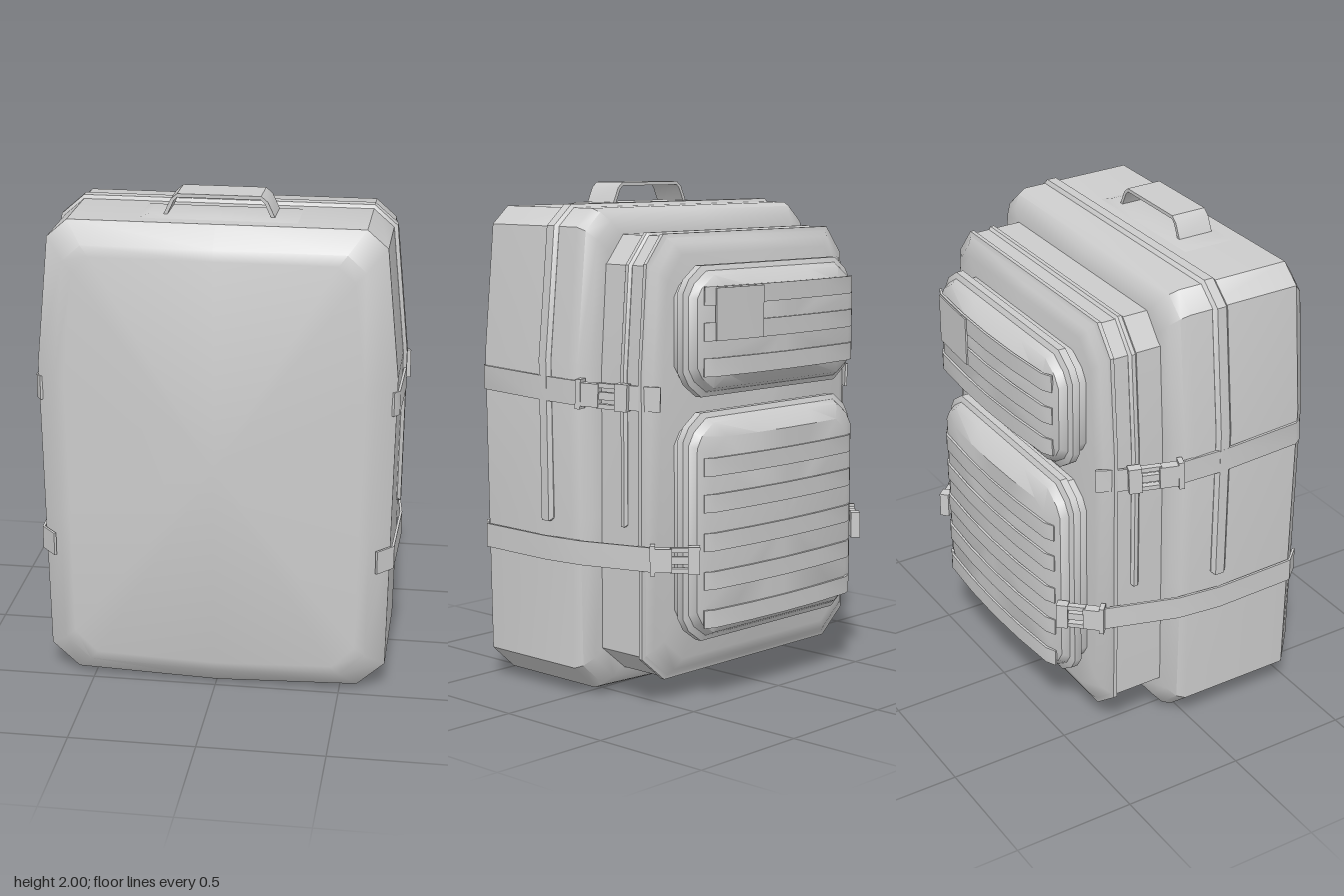
import * as THREE from 'three';
import { toCreasedNormals } from 'three/addons/utils/BufferGeometryUtils.js';

const material = new THREE.MeshStandardMaterial({ color: 0xcccccc });

function addMesh(parent, name, geometry, crease = 0.6) {
  const mesh = new THREE.Mesh(toCreasedNormals(geometry, crease), material);
  mesh.name = name;
  parent.add(mesh);
  return mesh;
}

// Closed outline from its right half, listed bottom centre to top centre
function mirrorOutline(half) {
  const left = half.filter(p => p[0] > 0).reverse().map(([x, y]) => [-x, y]);
  return [...half, ...left];
}

// Solid from one outline stacked along z; rings are [z, inset], front to back
function loft(outline, rings, dome = 0) {
  const ys = outline.map(p => p[1]);
  const hw = Math.max(...outline.map(p => p[0]));
  const hh = (Math.max(...ys) - Math.min(...ys)) / 2;
  const cy = Math.min(...ys) + hh;
  const n = outline.length, pos = [], index = [];
  rings.forEach(([z, d], r) => {
    for (const [x, y] of outline) {
      const bow = r === rings.length - 1 ? dome * (1 - (x / hw) ** 2) : 0;
      pos.push(x * (hw - d) / hw, cy + (y - cy) * (hh - d) / hh, z - bow);
    }
  });
  const front = rings.length * n, back = front + 1, last = (rings.length - 1) * n;
  pos.push(0, cy, rings[0][0], 0, cy, rings[rings.length - 1][0] - dome);
  for (let j = 0; j < n; j++) {
    const k = (j + 1) % n;
    for (let r = 0; r < rings.length - 1; r++) {
      const a = r * n, b = a + n;
      index.push(a + j, b + j, b + k, a + j, b + k, a + k);
    }
    index.push(front, j, k, back, last + k, last + j);
  }
  const g = new THREE.BufferGeometry();
  g.setAttribute('position', new THREE.Float32BufferAttribute(pos, 3));
  g.setIndex(index);
  return g;
}

// Flat ribbon of thickness t following a 2D path, extruded by depth
function ribbon(path, t, depth, bevel = 0) {
  const sides = [[], []];
  path.forEach((p, i) => {
    const a = path[Math.max(i - 1, 0)], b = path[Math.min(i + 1, path.length - 1)];
    const dx = b[0] - a[0], dy = b[1] - a[1], l = Math.hypot(dx, dy);
    [1, -1].forEach((s, k) => sides[k].push(
      new THREE.Vector2(p[0] - s * dy / l * t / 2, p[1] + s * dx / l * t / 2)));
  });
  return new THREE.ExtrudeGeometry(new THREE.Shape([...sides[0], ...sides[1].reverse()]), {
    depth, bevelEnabled: bevel > 0, bevelSize: bevel, bevelThickness: bevel, bevelSegments: 1,
  });
}

// Ribbon lying on an xz path, centred on height y
function levelRibbon(path, t, height, y) {
  return ribbon(path, t, height).rotateX(Math.PI / 2).translate(0, y + height / 2, 0);
}

// Arch over the top and down both sides
const arch = half => [...half, ...half.map(([x, y]) => [-x, y]).reverse()];

// Two-part clip running from a to b (xz points)
function addBuckle(parent, a, b, y) {
  const g = new THREE.Group();
  g.name = 'buckle';
  const dx = b[0] - a[0], dz = b[1] - a[1], len = Math.hypot(dx, dz);
  g.position.set(a[0], y, a[1]);
  g.rotation.y = Math.atan2(-dz, dx);
  const block = (name, x, yy, l, h, t) =>
    addMesh(g, name, new THREE.BoxGeometry(l, h, t).translate(x, yy, 0));
  block('buckleSocket', len * 0.22, 0, len * 0.44, 0.09, 0.038);
  block('buckleLip', len * 0.05, 0, len * 0.1, 0.115, 0.045);
  block('buckleTongue', len * 0.6, 0, len * 0.4, 0.03, 0.02);
  for (const s of [-1, 1]) block('buckleProng', len * 0.6, s * 0.04, len * 0.4, 0.018, 0.025);
  block('buckleBase', len * 0.88, 0, len * 0.24, 0.105, 0.038);
  parent.add(g);
}

function addPocket(parent, name, y0, y1, webbing) {
  const g = new THREE.Group();
  g.name = name;
  const w = 0.5, c = 0.1;
  const outline = mirrorOutline([[0, y0], [0.2, y0], [w - c, y0], [w - 0.03, y0 + 0.05], [w, y0 + c],
    [w, y1 - c], [w - 0.03, y1 - 0.05], [w - c, y1], [0.2, y1], [0, y1]]);
  addMesh(g, 'pocketBody', loft(outline, [[-0.35, 0.03], [-0.41, 0.03], [-0.415, 0], [-0.445, 0],
    [-0.455, 0.02], [-0.485, 0.035], [-0.51, 0.09]], 0.022));
  // Webbing rows follow the bulge of the pocket face
  const faceZ = x => -0.514 - 0.022 * (1 - (x / 0.42) ** 2);
  const row = [-0.4, -0.2, 0, 0.2, 0.4].map(x => [x, faceZ(x)]);
  for (const y of webbing)
    addMesh(g, 'webbing', levelRibbon([[-0.44, -0.497], ...row, [0.44, -0.497]], 0.01, 0.07, y));
  parent.add(g);
  return { g, faceZ };
}

export function createModel() {
  const pack = new THREE.Group();
  pack.name = 'backpack';

  // Main compartment
  addMesh(pack, 'mainBody', loft(mirrorOutline([[0, 0], [0.57, 0.02], [0.68, 0.12], [0.69, 0.7],
    [0.7, 1.33], [0.65, 1.84], [0.57, 1.91], [0, 1.91]]),
  [[0.54, 0.12], [0.527, 0.08], [0.45, 0], [-0.03, 0], [-0.065, 0.015], [-0.095, 0.05], [-0.11, 0.1]]));
  addMesh(pack, 'mainZipRidge', ribbon(arch([[0.688, 0.71], [0.695, 1.33], [0.645, 1.835],
    [0.567, 1.903]]), 0.012, 0.04, 0.014).translate(0, 0, 0.08));

  // Second compartment
  addMesh(pack, 'rearCompartment', loft(mirrorOutline([[0, 0.1], [0.48, 0.1], [0.6, 0.2], [0.6, 1.3],
    [0.57, 1.7], [0.48, 1.81], [0, 1.81]]),
  [[-0.09, 0], [-0.31, 0], [-0.314, -0.008], [-0.33, -0.008], [-0.335, 0.008], [-0.355, 0.03], [-0.37, 0.07]]));
  addMesh(pack, 'rearZipRidge', ribbon(arch([[0.597, 0.71], [0.597, 1.3], [0.567, 1.697],
    [0.478, 1.805]]), 0.01, 0.016, 0.01).translate(0, 0, -0.24));

  // Pockets on the back face, the upper one with a blank patch
  addPocket(pack, 'lowerPocket', 0.25, 1.14, [0.35, 0.5, 0.65, 0.8, 0.94]);
  const upper = addPocket(pack, 'upperPocket', 1.2, 1.7, [1.32, 1.455, 1.59]);
  const patch = [0.15, 0.28, 0.4].map(x => [x, upper.faceZ(x) - 0.006]);
  addMesh(upper.g, 'patch', levelRibbon(patch, 0.008, 0.2, 1.52));

  // Compression straps with clips on both sides
  for (const s of [1, -1]) {
    const side = points => points.map(([x, z]) => [s * x, z]);
    const high = new THREE.Group();
    high.name = 'upperStrap';
    high.position.y = 1.215;
    high.rotation.x = -0.04;
    addMesh(high, 'strapFront', levelRibbon(side([[0.685, 0.47], [0.705, 0.44], [0.71, 0.1],
      [0.695, -0.08]]), 0.01, 0.095, 0));
    addMesh(high, 'strapRear', levelRibbon(side([[0.625, -0.26], [0.605, -0.31], [0.56, -0.385]]),
      0.01, 0.095, 0));
    addBuckle(high, ...side([[0.7, -0.08], [0.625, -0.28]]), 0);
    pack.add(high);

    const low = new THREE.Group();
    low.name = 'lowerStrap';
    low.position.y = 0.59;
    addMesh(low, 'strapFront', levelRibbon(side([[0.64, 0.515], [0.7, 0.45], [0.71, 0.1],
      [0.69, -0.08], [0.6, -0.37]]), 0.01, 0.095, 0));
    addBuckle(low, ...side([[0.605, -0.37], [0.475, -0.51]]), 0);
    pack.add(low);
  }

  // Carry handle on its base plate
  const handle = new THREE.Group();
  handle.name = 'handle';
  addMesh(handle, 'handleGrip', ribbon([[-0.21, 1.91], [-0.18, 1.975], [-0.16, 1.993], [0.16, 1.993],
    [0.18, 1.975], [0.21, 1.91]], 0.014, 0.15).translate(0, 0, 0.21));
  const plate = loft(mirrorOutline([[0, -0.115], [0.31, -0.115], [0.31, 0.115], [0, 0.115]]),
    [[0.012, 0.04], [0, 0]]);
  addMesh(handle, 'handlePlate', plate.rotateX(-Math.PI / 2).translate(0, 1.908, 0.285));
  pack.add(handle);

  return pack;
}
